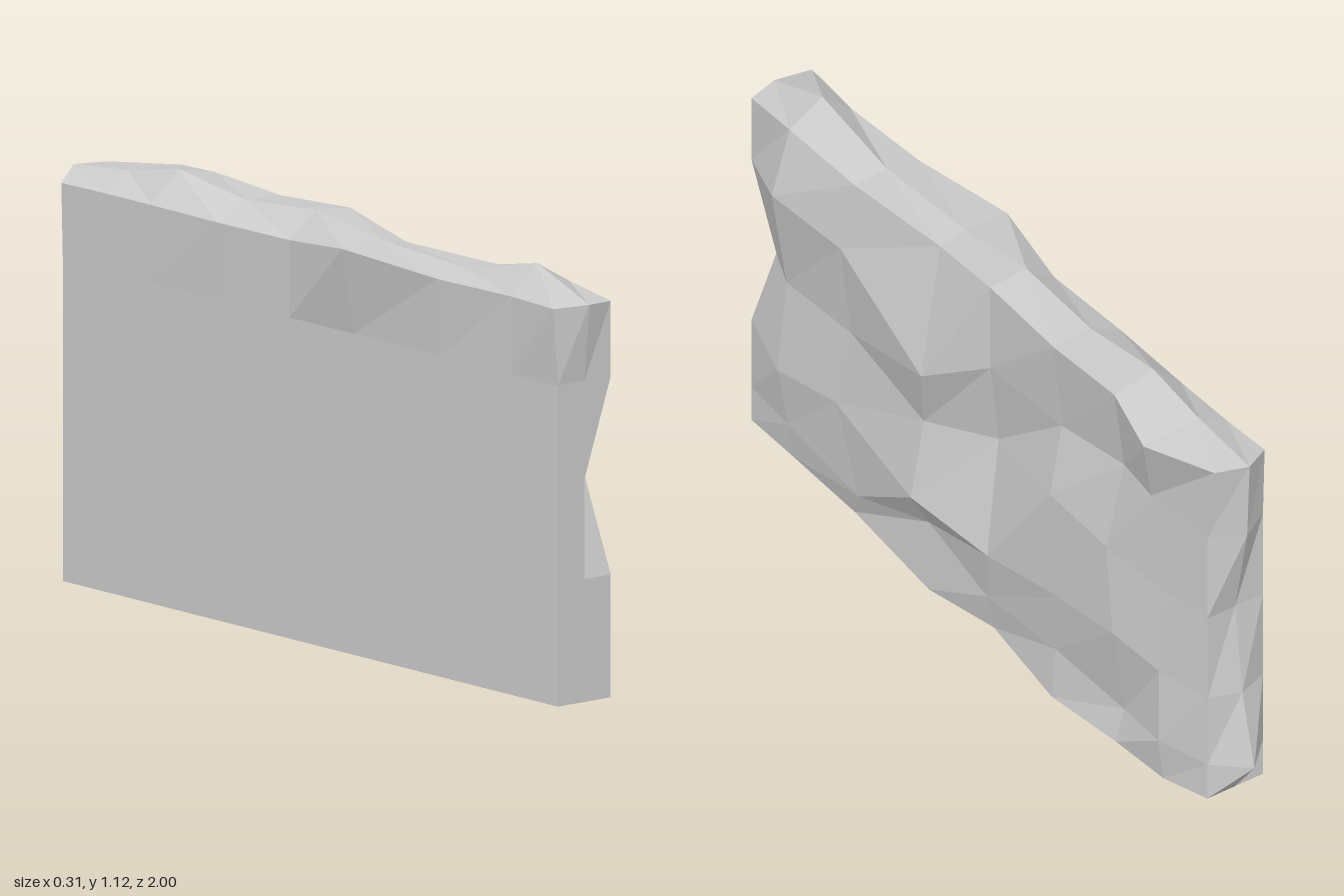
import * as THREE from 'three';

// Regular stations of the slab, and how far the rough face stands out at each
const zs = [-0.92, -0.77, -0.58, -0.32, -0.05, 0.2, 0.53, 0.8, 0.98];
const ys = [0.04, 0.145, 0.35, 0.6, 0.85, 1.045];
const xs = [-0.115, -0.03, 0.055];
const relief = [ // rows bottom to top, columns back to front
  [0.055, 0.08, 0.085, 0.09, 0.07, 0.085, 0.07, 0.06, 0.055],
  [0.055, 0.095, 0.06, 0.08, 0.09, 0.07, 0.095, 0.075, 0.055],
  [0.055, 0.085, 0.11, 0.1, 0.12, 0.14, 0.1, 0.1, 0.055],
  [0.055, 0.075, 0.1, 0.11, 0.04, 0.1, 0.08, 0.065, 0.03],
  [0.055, 0.08, 0.06, 0.06, 0.08, 0.153, 0.1, 0.125, 0.055],
  [0.055, 0.14, 0.09, 0.085, 0.08, 0.05, 0.07, 0.07, 0.055],
];

// Uneven crest and foot, per column from back to front
const crestMid = [1.07, 1.09, 1.125, 1.09, 1.11, 1.075, 1.06, 1.117, 1.045];
const crestRough = [1.07, 1.08, 1.1, 1.085, 1.1, 1.06, 1.055, 1.06, 1.04];
const foot = [0.04, 0.022, 0.02, 0, 0.04, 0.01, 0.04, 0.04, 0.04];
const crestLeft = [-0.12, -0.115, -0.115, -0.12, -0.115, -0.155, -0.125, -0.115, -0.13];

// Chipped stones on the rough face: 'row,column' -> [z, y]
const chips = {
  '1,2': [-0.58, 0.11], '1,5': [0.22, 0.2], '1,6': [0.48, 0.13],
  '2,1': [-0.76, 0.35], '2,2': [-0.6, 0.38], '2,3': [-0.36, 0.34], '2,4': [-0.09, 0.31],
  '2,5': [0.2, 0.32], '2,6': [0.57, 0.37], '2,7': [0.81, 0.32],
  '3,2': [-0.56, 0.62], '3,3': [-0.34, 0.65], '3,4': [-0.03, 0.6], '3,5': [0.2, 0.54],
  '3,7': [0.82, 0.57], '3,8': [0.91, 0.59],
  '4,1': [-0.72, 0.87], '4,2': [-0.58, 0.87], '4,3': [-0.32, 0.83],
  '4,5': [0.14, 0.74], '4,6': [0.55, 0.86], '4,7': [0.8, 0.88],
};

// Weathered middle line of the back end, per row; the corners stay straight
const backMid = [-0.92, -1.0, -0.95, -0.92, -0.97, -0.98];

function stonePoint(i, j, k) {
  let x = xs[i], y = ys[j], z = zs[k];
  if (i === 1 && k === 0) z = backMid[j];
  if (i === 2) {
    x = relief[j][k];
    const chip = chips[j + ',' + k];
    if (chip) [z, y] = chip;
  }
  if (j === 5) {
    if (i === 0) { x = crestLeft[k]; if (k === 5) y = 1.07; }
    if (i === 1) { y = crestMid[k]; if (k === 8) z = 1; }
    if (i === 2) { y = crestRough[k]; if (k === 0) z = -0.95; }
  }
  if (j === 0 && i === 2) y = foot[k];
  return [x, y, z];
}

export function createModel() {
  const group = new THREE.Group();
  group.name = 'stoneWall';

  // One slab, each grid corner moved to its weathered place
  const geometry = new THREE.BoxGeometry(2, 5, 8, 2, 5, 8);
  const pos = geometry.attributes.position;
  for (let v = 0; v < pos.count; v++) {
    const i = Math.round(pos.getX(v) + 1);
    const j = Math.round(pos.getY(v) + 2.5);
    const k = Math.round(pos.getZ(v) + 4);
    pos.setXYZ(v, ...stonePoint(i, j, k));
  }
  geometry.computeVertexNormals();

  const slab = new THREE.Mesh(
    geometry,
    new THREE.MeshStandardMaterial({ color: 0xcccccc, flatShading: true })
  );
  slab.name = 'roughStoneSlab';
  group.add(slab);
  return group;
}
